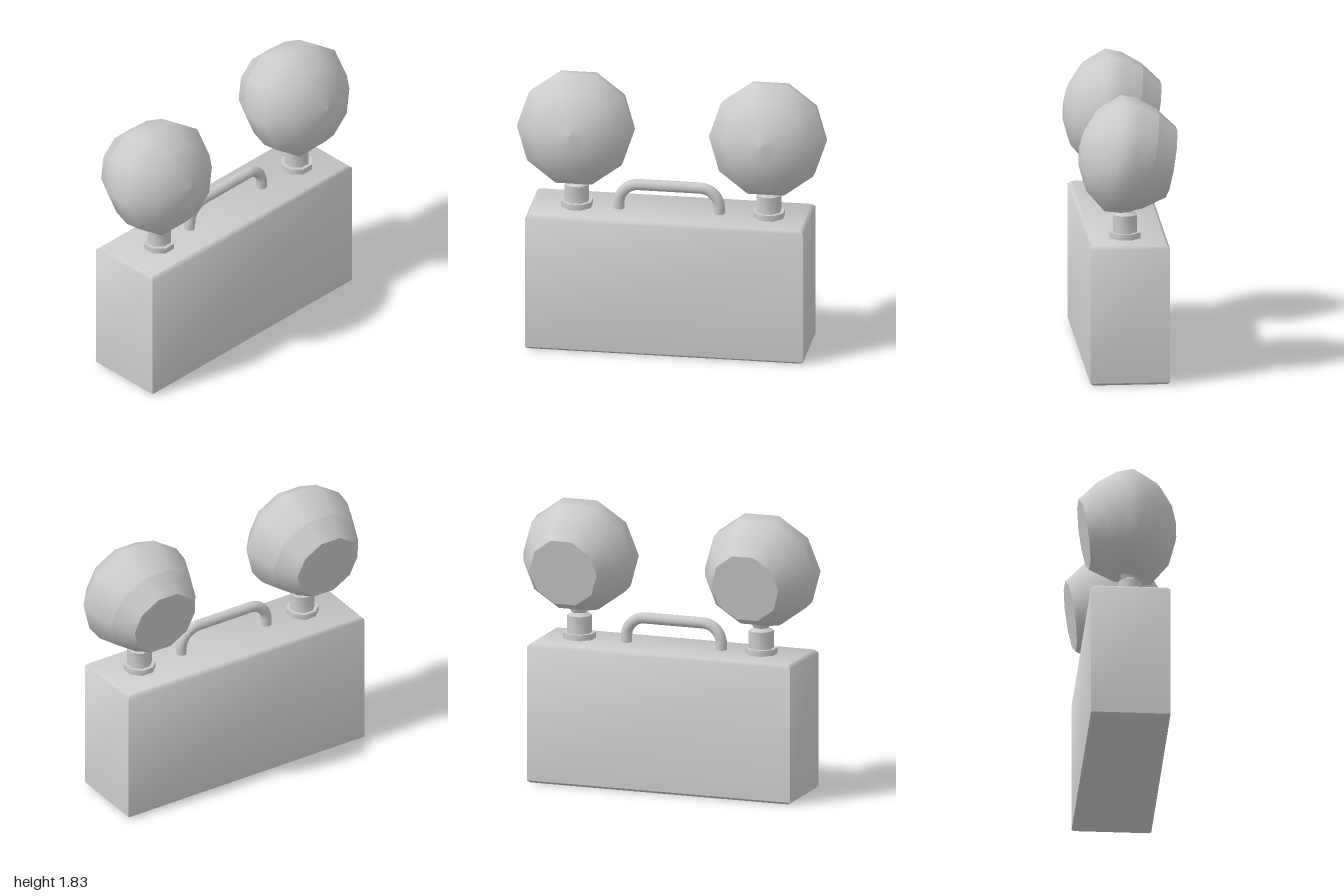
import * as THREE from 'three';
import { toCreasedNormals } from 'three/addons/utils/BufferGeometryUtils.js';

const material = new THREE.MeshStandardMaterial({ color: 0xcccccc });

function part(name, geometry, parent) {
  const mesh = new THREE.Mesh(geometry, material);
  mesh.name = name;
  parent.add(mesh);
  return mesh;
}

function lathe(profile, sides, start) {
  return new THREE.LatheGeometry(profile.map(([r, y]) => new THREE.Vector2(r, y)), sides, start);
}

// Box whose top and bottom edges are bevelled, from stacked rectangles
function bevelledBox(width, depth, rings) {
  const positions = [];
  const corners = rings.map(([y, inset]) => {
    const x = width / 2 - inset, z = depth / 2 - inset;
    return [[x, y, z], [x, y, -z], [-x, y, -z], [-x, y, z]];
  });
  const quad = (a, b, c, d) => positions.push(...a, ...b, ...c, ...a, ...c, ...d);
  for (let i = 0; i < corners.length - 1; i++) {
    const lower = corners[i], upper = corners[i + 1];
    for (let k = 0; k < 4; k++) {
      const n = (k + 1) % 4;
      quad(lower[k], lower[n], upper[n], upper[k]);
    }
  }
  const [a, b, c, d] = corners[0];
  quad(d, c, b, a);
  quad(...corners[corners.length - 1]);
  const geometry = new THREE.BufferGeometry();
  geometry.setAttribute('position', new THREE.Float32BufferAttribute(positions, 3));
  return toCreasedNormals(geometry, 0.8);
}

// Arched carrying handle: two legs, two rounded corners and a straight grip
function handleGeometry() {
  const half = 0.325, bend = 0.125, top = 1.084, k = 0.448 * bend;
  const v = (x, y) => new THREE.Vector3(x, y, 0);
  const path = new THREE.CurvePath();
  path.add(new THREE.LineCurve3(v(-half, 0.9), v(-half, top - bend)));
  path.add(new THREE.CubicBezierCurve3(
    v(-half, top - bend), v(-half, top - k), v(-half + k, top), v(-half + bend, top)));
  path.add(new THREE.LineCurve3(v(-half + bend, top), v(half - bend, top)));
  path.add(new THREE.CubicBezierCurve3(
    v(half - bend, top), v(half - k, top), v(half, top - k), v(half, top - bend)));
  path.add(new THREE.LineCurve3(v(half, top - bend), v(half, 0.9)));
  return new THREE.TubeGeometry(path, 36, 0.036, 10);
}

function createLamp(name, x) {
  const lamp = new THREE.Group();
  lamp.name = name;
  lamp.position.x = x;

  // Mounting flange and neck
  const flange = new THREE.CylinderGeometry(0.105, 0.105, 0.047, 8, 1, false, Math.PI / 8);
  part('flange', toCreasedNormals(flange, 0.9), lamp).position.set(0, 0.933, 0.02);
  const neck = lathe([[0.081, 0.94], [0.081, 1.07], [0.05, 1.09], [0.07, 1.13]], 8, Math.PI / 8);
  part('neck', toCreasedNormals(neck, 0.85), lamp).position.z = 0.02;

  // Head faces forward, tilted slightly upward
  const head = new THREE.Group();
  head.name = 'lampHead';
  head.position.y = 1.456;
  head.rotation.x = Math.PI / 2 - 0.175;
  lamp.add(head);
  const dome = [
    [0.323, -0.142], [0.373, -0.01], [0.378, 0.1], [0.268, 0.234], [0.125, 0.3], [0, 0.32],
  ];
  part('lampDome', lathe(dome, 10, Math.PI / 2), head);
  part('rearCollar', lathe([[0.23, -0.28], [0.323, -0.142]], 10, Math.PI / 2), head);
  const cap = part('rearCap', new THREE.CircleGeometry(0.23, 10), head);
  cap.rotation.x = Math.PI / 2;
  cap.position.y = -0.28;
  return lamp;
}

export function createModel() {
  const model = new THREE.Group();
  model.name = 'twinHeadLamp';

  const rings = [[0, 0.02], [0.016, 0], [0.896, 0], [0.918, 0.022]];
  part('caseBody', bevelledBox(1.805, 0.512, rings), model).position.set(-0.022, 0, 0.006);

  part('carryHandle', handleGeometry(), model).position.set(-0.025, 0, 0.023);

  model.add(createLamp('leftLamp', 0.622), createLamp('rightLamp', -0.624));
  return model;
}
